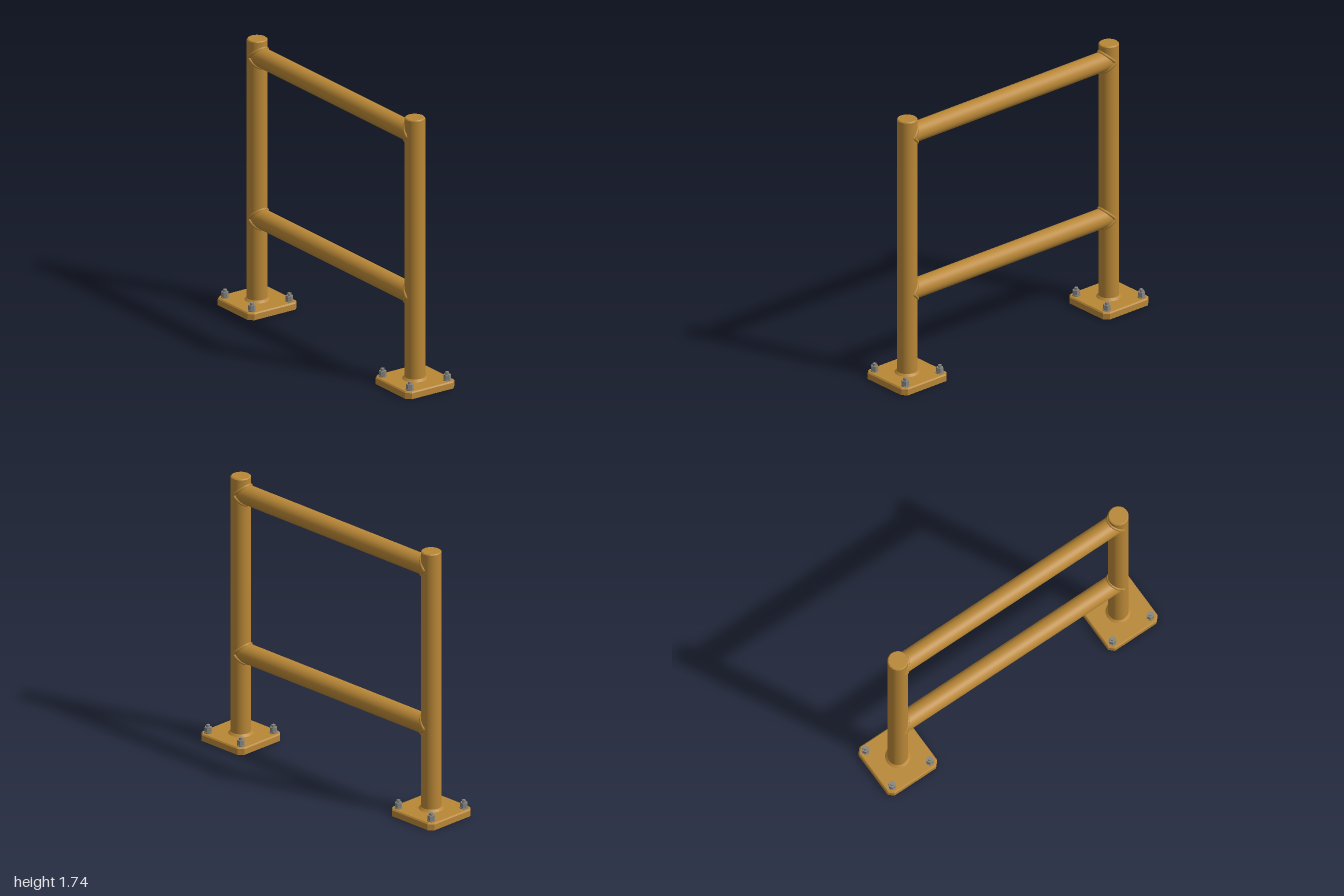
import * as THREE from 'three';

const R = 0.063;        // tube radius
const POST_Z = 0.816;   // post distance from the centre
const TOP = 1.744;      // post top
const PLATE_H = 0.046;  // base plate height
const RAIL_Y = [0.585, 1.634];

function createMaterials() {
  const paint = new THREE.MeshStandardMaterial({ color: 0xb98736, side: THREE.DoubleSide });
  paint.name = 'ochre paint';
  const steel = new THREE.MeshStandardMaterial({ color: 0x87857f });
  steel.name = 'grey steel';
  return { paint, steel };
}

function add(parent, name, geometry, material, x = 0, y = 0, z = 0) {
  const mesh = new THREE.Mesh(geometry, material);
  mesh.name = name;
  mesh.position.set(x, y, z);
  parent.add(mesh);
  return mesh;
}

// Square outline with cut corners
function plateOutline(half, cut) {
  const a = half, b = half - cut;
  return [[a, -b], [a, b], [b, a], [-b, a], [-a, b], [-a, -b], [-b, -a], [b, -a]];
}

// Sides of the pressed base plate: wall plus a small top bevel, open below
function plateSides() {
  const rings = [[0, 0.184, 0.03], [0.038, 0.184, 0.03], [PLATE_H, 0.177, 0.028]]
    .map(([y, half, cut]) => plateOutline(half, cut).map(([x, z]) => [x, y, z]));
  const pos = [];
  for (let r = 0; r < rings.length - 1; r++) {
    for (let i = 0; i < 8; i++) {
      const j = (i + 1) % 8;
      const a = rings[r][i], b = rings[r][j], c = rings[r + 1][j], d = rings[r + 1][i];
      pos.push(...a, ...c, ...b, ...a, ...d, ...c);
    }
  }
  const g = new THREE.BufferGeometry();
  g.setAttribute('position', new THREE.Float32BufferAttribute(pos, 3));
  g.computeVertexNormals();
  return g;
}

// Top sheet of the plate with the post bore
function plateTop() {
  const shape = new THREE.Shape(plateOutline(0.177, 0.028).map(p => new THREE.Vector2(...p)));
  shape.holes.push(new THREE.Path().absarc(0, 0, R - 0.002, 0, Math.PI * 2, true));
  return new THREE.ShapeGeometry(shape, 24).rotateX(-Math.PI / 2).translate(0, PLATE_H, 0);
}

// Closed seam where a rail meets the inner side of a post
class SaddleCurve extends THREE.Curve {
  getPoint(t, target = new THREE.Vector3()) {
    const a = t * Math.PI * 2;
    return target.set(R * Math.cos(a), R * Math.sin(a), -R * Math.abs(Math.sin(a)));
  }
}

export function createModel() {
  const { paint, steel } = createMaterials();
  const model = new THREE.Group();
  model.name = 'guardRail';

  const postGeo = new THREE.CylinderGeometry(R, R, TOP - 0.006 - PLATE_H, 40, 1, true);
  const capGeo = new THREE.CylinderGeometry(R - 0.006, R, 0.006, 40);
  const collarGeo = new THREE.CylinderGeometry(R, R + 0.014, 0.014, 40, 1, true);
  const sidesGeo = plateSides();
  const topGeo = plateTop();
  const weldGeo = new THREE.TubeGeometry(new SaddleCurve(), 64, 0.01, 8, true);
  const washerGeo = new THREE.CylinderGeometry(0.025, 0.025, 0.006, 20);
  const nutGeo = new THREE.CylinderGeometry(0.023, 0.023, 0.032, 6).toNonIndexed();
  nutGeo.computeVertexNormals();
  const studGeo = new THREE.CylinderGeometry(0.012, 0.012, 0.05, 16);

  for (const side of [1, -1]) {
    // Upright with its base plate; the back one is turned round
    const upright = new THREE.Group();
    upright.name = side > 0 ? 'frontUpright' : 'backUpright';
    upright.position.z = side * POST_Z;
    upright.rotation.y = side > 0 ? 0 : Math.PI;
    model.add(upright);
    add(upright, 'post', postGeo, paint, 0, (TOP - 0.006 + PLATE_H) / 2);
    add(upright, 'postCap', capGeo, paint, 0, TOP - 0.003);
    add(upright, 'baseWeld', collarGeo, paint, 0, PLATE_H + 0.007);
    add(upright, 'plateSides', sidesGeo, paint);
    add(upright, 'plateTop', topGeo, paint);

    // Rail welds
    for (const y of RAIL_Y) add(upright, 'railWeld', weldGeo, paint, 0, y);

    // Anchor bolts at the plate corners
    for (const x of [-0.14, 0.14]) {
      for (const z of [-0.14, 0.14]) {
        const bolt = new THREE.Group();
        bolt.name = 'anchorBolt';
        bolt.position.set(x, PLATE_H, z);
        upright.add(bolt);
        add(bolt, 'washer', washerGeo, steel, 0, 0.003);
        add(bolt, 'nut', nutGeo, steel, 0, 0.021);
        add(bolt, 'stud', studGeo, steel, 0, 0.027);
      }
    }
  }

  // Horizontal rails, ending inside the posts
  const railGeo = new THREE.CylinderGeometry(R - 0.0005, R - 0.0005, POST_Z * 2, 40, 1, true)
    .rotateX(Math.PI / 2);
  RAIL_Y.forEach((y, i) => add(model, i ? 'topRail' : 'middleRail', railGeo, paint, 0, y));

  return model;
}
